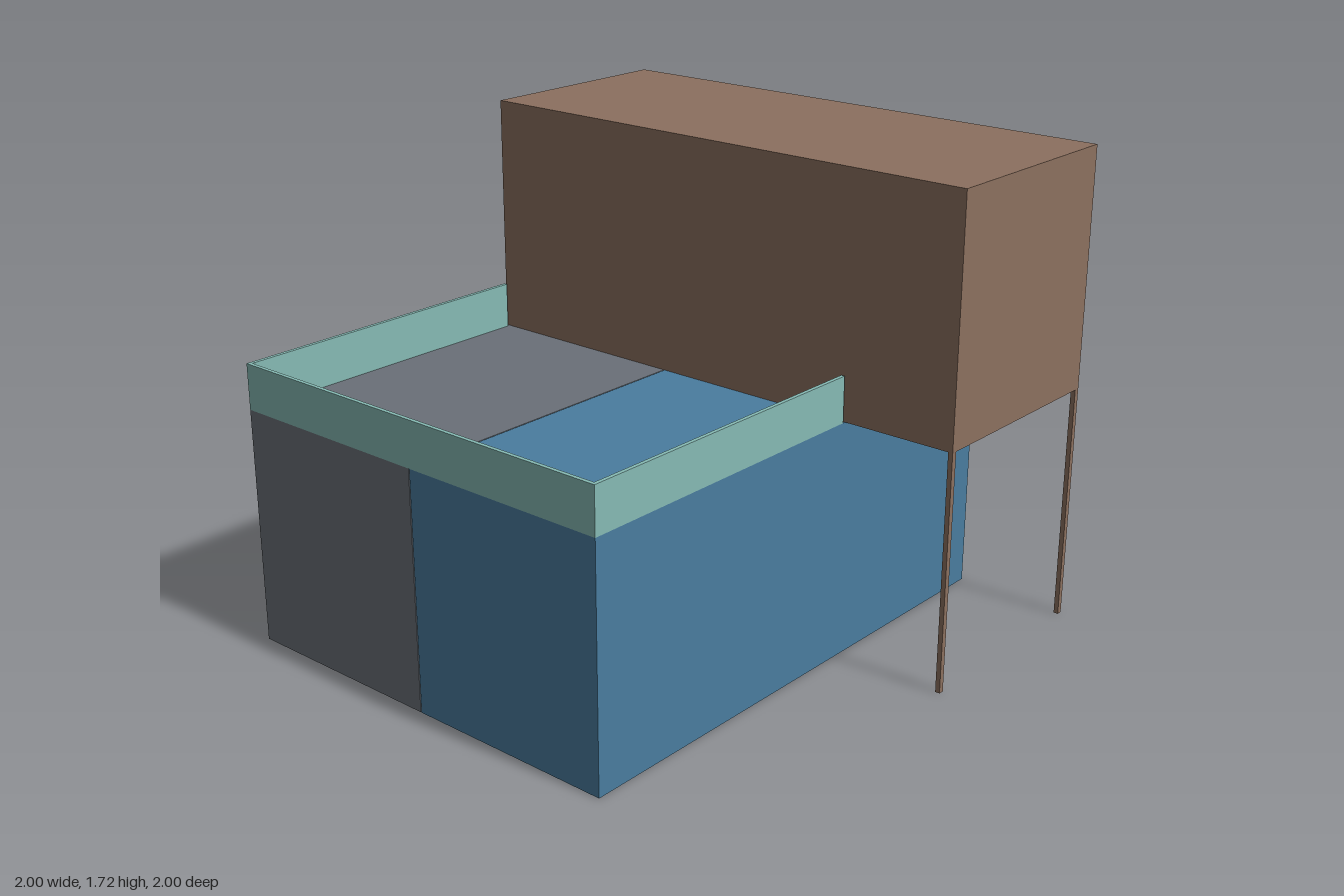
import * as THREE from 'three';

function material(name, color) {
  const m = new THREE.MeshStandardMaterial({ color });
  m.name = name;
  return m;
}

export function createModel() {
  const model = new THREE.Group();
  model.name = 'containerBuilding';
  const brown = material('brown', 0x8c705f);
  const grey = material('grey', 0x6a7078);
  const blue = material('blue', 0x4a7d9f);
  const teal = material('teal', 0x86bab4);

  // Box given by its minimum and maximum along each axis
  function block(name, mat, [x0, x1], [y0, y1], [z0, z1]) {
    const mesh = new THREE.Mesh(new THREE.BoxGeometry(x1 - x0, y1 - y0, z1 - z0), mat);
    mesh.position.set((x0 + x1) / 2, (y0 + y1) / 2, (z0 + z1) / 2);
    mesh.name = name;
    model.add(mesh);
  }

  const floor = 0.86, top = 1.72, seam = -0.21, side = 0.58;

  // Two ground containers side by side, one laid across them at the back
  block('greyContainer', grey, [-1, seam - 0.002], [0, floor], [-1, 1]);
  block('blueContainer', blue, [seam + 0.002, side], [0, floor], [-1, 1]);
  block('upperContainer', brown, [-1, 1], [floor, top], [-1, seam]);

  // Posts under the overhang
  for (const z of [-1, seam - 0.02]) {
    block('post', brown, [0.983, 1], [0, floor], [z, z + 0.02]);
  }

  // Parapet around the terrace
  const t = 0.014, rail = [floor, 1.025];
  block('frontParapet', teal, [-1, side], rail, [1 - t, 1]);
  block('rightParapet', teal, [-1, -1 + t], rail, [-0.2, 1 - t]);
  block('leftParapet', teal, [side - t, side], rail, [-0.2, 1 - t]);

  return model;
}
